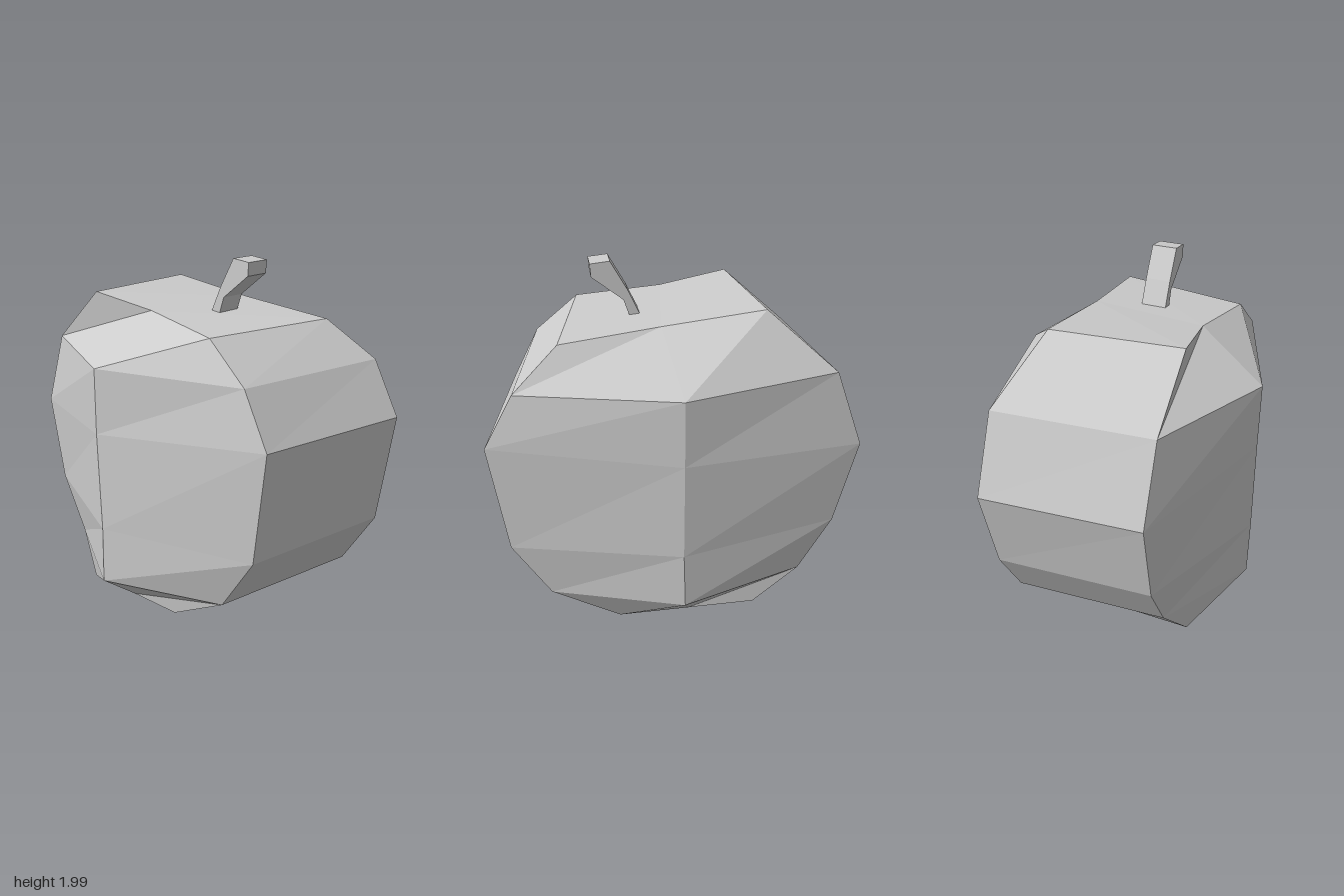
import * as THREE from 'three';

// Six-sided rings from bottom to top, as [x, y, z] corners:
// front -x, front middle, front +x, back +x, back middle, back -x
const rings = [
  [[-0.45, 0, 0.47], [-0.12, 0, 0.44], [0.2, 0, 0.41], [0.34, 0, -0.47], [-0.06, 0, -0.47], [-0.45, 0, -0.47]],
  [[-0.64, 0.22, 0.4], [-0.07, 0.22, 0.7], [0.57, 0.22, 0.41], [0.72, 0.22, -0.47], [0, 0.22, -0.7], [-0.71, 0.22, -0.47]],
  [[-0.82, 0.54, 0.4], [-0.06, 0.55, 0.7], [0.78, 0.55, 0.41], [0.92, 0.55, -0.47], [0.01, 0.55, -0.7], [-0.89, 0.54, -0.47]],
  [[-0.92, 1.03, 0.4], [-0.075, 1.1, 0.7], [0.85, 1.17, 0.41], [1, 1.17, -0.475], [0.01, 1.1, -0.695], [-1, 1.03, -0.475]],
  [[-0.76, 1.46, 0.4], [-0.07, 1.46, 0.7], [0.7, 1.46, 0.41], [0.84, 1.46, -0.475], [0.01, 1.46, -0.685], [-0.84, 1.46, -0.46]],
  [[-0.41, 1.77, 0.4], [-0.02, 1.715, 0.345], [0.46, 1.66, 0.4], [0.6, 1.66, -0.35], [0.07, 1.71, -0.31], [-0.48, 1.77, -0.31]],
];

function fruitGeometry() {
  const n = 6, last = (rings.length - 1) * n, index = [];
  const quad = (a, b, c, d) => index.push(a, b, c, a, c, d);
  // Side walls between neighbouring rings
  for (let r = 0; r < rings.length - 1; r++) {
    for (let i = 0; i < n; i++) {
      const j = (i + 1) % n;
      quad(r * n + i, r * n + j, (r + 1) * n + j, (r + 1) * n + i);
    }
  }
  // Top and bottom, each split along the middle corners
  quad(last, last + 1, last + 4, last + 5);
  quad(last + 1, last + 2, last + 3, last + 4);
  quad(5, 4, 1, 0);
  quad(4, 3, 2, 1);

  const geo = new THREE.BufferGeometry();
  geo.setAttribute('position', new THREE.Float32BufferAttribute(rings.flat(2), 3));
  geo.setIndex(index);
  const flat = geo.toNonIndexed();
  flat.computeVertexNormals();
  return flat;
}

function stemGeometry() {
  // Bent side outline, extruded to a square-edged stalk
  const outline = [[0.15, 1.7], [0.205, 1.69], [0.235, 1.78], [0.4, 1.91], [0.405, 1.98], [0.3, 1.99], [0.21, 1.83]];
  const shape = new THREE.Shape(outline.map(([x, y]) => new THREE.Vector2(x, y)));
  return new THREE.ExtrudeGeometry(shape, { depth: 0.14, bevelEnabled: false }).translate(0, 0, -0.075);
}

export function createModel() {
  const group = new THREE.Group();
  group.name = 'apple';
  const material = new THREE.MeshStandardMaterial({ color: 0xcccccc, flatShading: true });
  const add = (name, geometry) => {
    const mesh = new THREE.Mesh(geometry, material);
    mesh.name = name;
    group.add(mesh);
  };
  add('fruit', fruitGeometry());
  add('stem', stemGeometry());
  return group;
}
